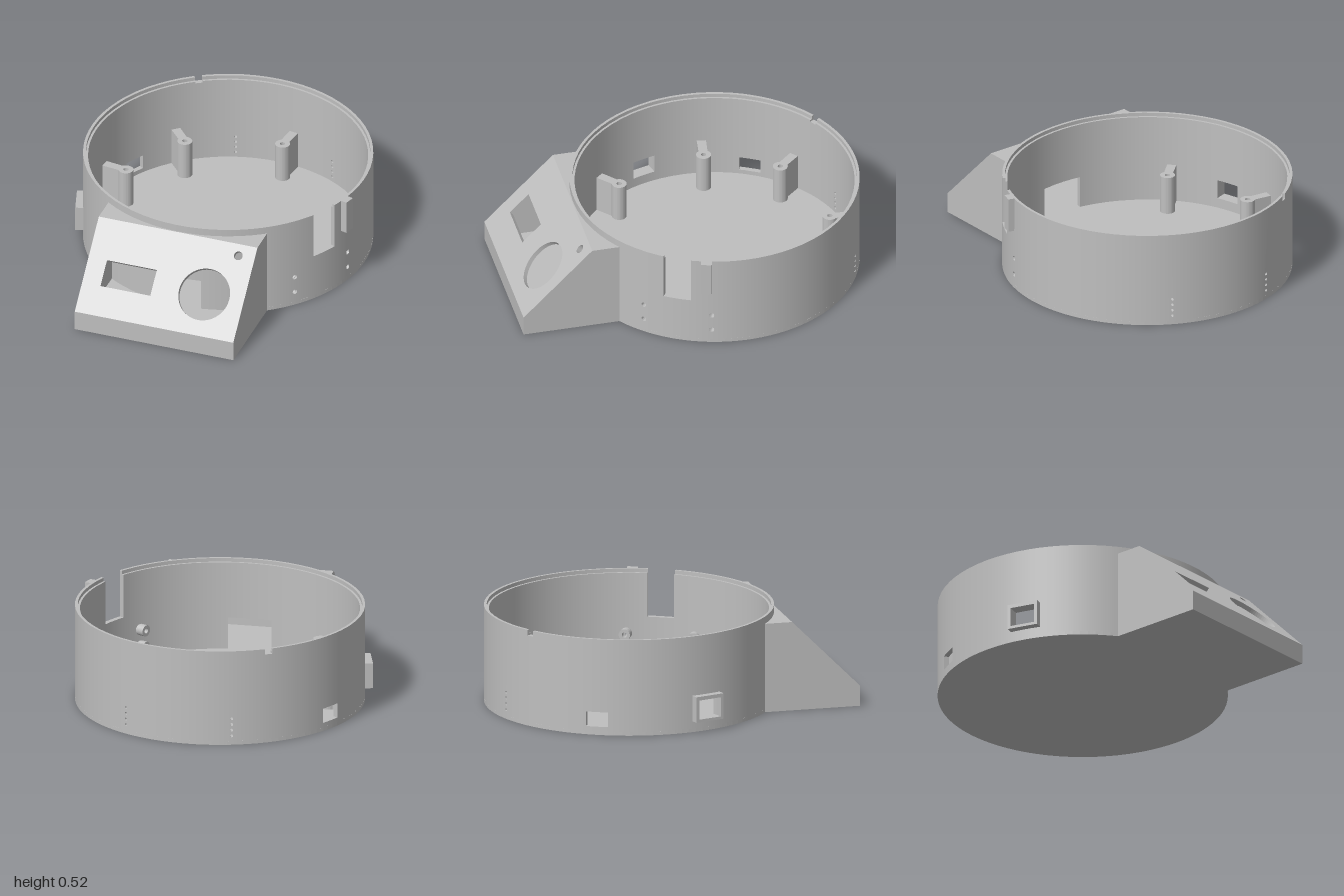
import * as THREE from 'three';
import { mergeGeometries } from 'three/addons/utils/BufferGeometryUtils.js';

const RAD = Math.PI / 180;
const R = 0.772, R_IN = 0.745, R_LIP = 0.757; // bowl radii
const H = 0.525, LEDGE = 0.505, FLOOR = 0.02;
const HALF = 0.449, FRONT = 1.152, RIDGE = 0.777, TOP = 0.485, LOW = 0.11, T = 0.025; // housing

const grey = new THREE.MeshStandardMaterial({ color: 0xbfbfbf });
grey.name = 'grey plastic';

function mesh(geometry, name, parent) {
  const m = new THREE.Mesh(geometry, grey);
  m.name = name;
  parent.add(m);
  return m;
}

function polygon(points) {
  return new THREE.Shape(points.map(([x, y]) => new THREE.Vector2(x, y)));
}

function circleHole(x, y, r) {
  return new THREE.Path().absarc(x, y, r, 0, Math.PI * 2, true);
}

function extrude(shape, depth, curveSegments = 16) {
  return new THREE.ExtrudeGeometry(shape, { depth, bevelEnabled: false, curveSegments });
}

// Upright prism from a plan outline of [x, z] points
function prism(points, y, height, holes = []) {
  const shape = polygon(points.map(([x, z]) => [x, -z]));
  shape.holes.push(...holes);
  return extrude(shape, height).rotateX(-Math.PI / 2).translate(0, y, 0);
}

function arc(r, from, to, n) {
  return Array.from({ length: n + 1 }, (_, i) => {
    const a = from + (to - from) * i / n;
    return [r * Math.sin(a), r * Math.cos(a)];
  });
}

// Openings in the wall: [from degree, to degree, bottom, top], 0 = +z, 90 = +x
const openings = [
  [18.8, 37.2, FLOOR, 0.195],   // passage to the housing
  [84, 95.2, 0.265, 1],         // tall notch
  [-121.5, -118.5, 0.495, 1],   // rim notch
  [-50, -40, 0.075, 0.18],      // socket
  [-94.5, -85.5, 0.045, 0.125], // side port
];
// Round holes: [degree, height, radius]
const drilled = [];
for (const a of [180, -135]) for (let i = 0; i < 4; i++) drilled.push([a, 0.05 + i * 0.032, 0.008]);
for (const a of [75.4, 103.5]) for (const y of [0.08, 0.173]) drilled.push([a, y, 0.014]);

// Curved wall from narrow bent panels, leaving the openings free
function wall(rIn, y0, y1) {
  const cuts = new Set(openings.flatMap(([a, b]) => [a, b]));
  for (let a = -178; a <= 182; a += 5) cuts.add(a);
  const edges = [...cuts].sort((a, b) => a - b);
  const parts = [];
  for (let i = 0; i + 1 < edges.length; i++) {
    const [a, b] = [edges[i], edges[i + 1]], mid = (a + b) / 2;
    const gap = openings.find(o => mid > o[0] && mid < o[1]);
    const spans = gap ? [[y0, Math.min(y1, gap[2])], [Math.max(y0, gap[3]), y1]] : [[y0, y1]];
    for (const [s, e] of spans) {
      if (e - s < 1e-4) continue;
      const w = (a - mid) * RAD * R;
      const shape = polygon([[w, s], [-w, s], [-w, e], [w, e]]);
      for (const [d, y, r] of drilled) {
        if (d > a && d < b && y > s && y < e) shape.holes.push(circleHole((d - mid) * RAD * R, y, r));
      }
      const g = extrude(shape, R - rIn, 6);
      const p = g.attributes.position, n = g.attributes.normal, v = new THREE.Vector3();
      const up = new THREE.Vector3(0, 1, 0);
      for (let k = 0; k < p.count; k++) {
        const angle = mid * RAD + p.getX(k) / R, r = rIn + p.getZ(k);
        v.fromBufferAttribute(n, k).applyAxisAngle(up, angle);
        n.setXYZ(k, v.x, v.y, v.z);
        p.setXYZ(k, r * Math.sin(angle), p.getY(k), r * Math.cos(angle));
      }
      parts.push(g);
    }
  }
  return mergeGeometries(parts);
}

export function createModel() {
  const model = new THREE.Group();
  model.name = 'instrumentCase';
  const body = new THREE.Group();
  body.name = 'case';
  body.position.set(-0.085, 0, -0.23);
  model.add(body);

  // Round bowl
  mesh(wall(R_IN, 0, LEDGE), 'bowlWall', body);
  mesh(wall(R_LIP, LEDGE, H), 'rimLip', body);

  // Angled housing, turned to one side
  const housing = new THREE.Group();
  housing.name = 'panelHousing';
  housing.rotation.y = 28 * RAD;
  body.add(housing);
  const meet = Math.asin(HALF / R);

  // One floor under bowl and housing
  mesh(prism([...arc(R, meet, Math.PI * 2 - meet, 96), [-HALF, FRONT], [HALF, FRONT]], 0, FLOOR), 'floor', housing);

  // Flat top strip that follows the bowl
  const inner = Math.asin(HALF / 0.76);
  mesh(prism([...arc(0.76, -inner, inner, 24), [HALF, RIDGE], [-HALF, RIDGE]], TOP - T, T), 'housingTop', housing);

  const profile = polygon([[0.625, 0], [FRONT, 0], [FRONT, LOW], [RIDGE, TOP], [0.625, TOP]]);
  for (const x of [HALF, -HALF + T]) {
    const side = mesh(extrude(profile, T), 'housingSide', housing);
    side.rotation.y = -Math.PI / 2;
    side.position.x = x;
  }
  mesh(new THREE.BoxGeometry(HALF * 2, LOW, T), 'frontLip', housing).position.set(0, LOW / 2, FRONT - T / 2);

  // Sloping panel with screen window, round opening and small hole
  const slope = (FRONT - RIDGE) * Math.SQRT2;
  const panel = polygon([[-HALF, 0], [HALF, 0], [HALF, slope], [-HALF, slope]]);
  panel.holes.push(
    polygon([[-0.345, 0.163], [-0.345, 0.307], [-0.063, 0.307], [-0.063, 0.163]]),
    circleHole(0.226, 0.226, 0.142),
    circleHole(0.357, 0.467, 0.024));
  const face = mesh(extrude(panel, T, 32), 'slopingPanel', housing);
  face.rotation.x = -Math.PI / 4;
  face.position.set(0, LOW - T * Math.SQRT1_2, FRONT - T * Math.SQRT1_2);

  // Four screw posts with ribs to the wall
  for (const a of [-20, -70, -110, -160]) {
    const post = arc(0.04, 37 * RAD, 323 * RAD, 24).map(([x, z]) => [x, z + 0.616]);
    const g = prism([...post, [-0.025, 0.755], [0.025, 0.755]], 0.01, 0.22, [circleHole(0, -0.616, 0.014)]);
    mesh(g, 'screwPost', body).rotation.y = a * RAD;
  }

  // Sideways screw sleeves behind the drilled holes
  for (const a of [75.4, 103.5]) for (const y of [0.08, 0.173]) {
    const ring = new THREE.Shape().absarc(0, 0, 0.031, 0, Math.PI * 2, false);
    ring.holes.push(circleHole(0, 0, 0.014));
    const sleeve = mesh(extrude(ring, 0.055), 'screwSleeve', body);
    sleeve.rotation.y = Math.PI / 2;
    sleeve.position.set(0.68, y, R * Math.cos(a * RAD));
  }

  // Socket frame standing out from the wall
  const frame = polygon([[-0.085, 0.06], [0.085, 0.06], [0.085, 0.2], [-0.085, 0.2]]);
  frame.holes.push(polygon([[-0.067, 0.075], [-0.067, 0.18], [0.067, 0.18], [0.067, 0.075]]));
  mesh(extrude(frame, 0.055).translate(0, 0, 0.755), 'socketFrame', body).rotation.y = -45 * RAD;

  // Small upright block beside the tall notch
  const block = new THREE.BoxGeometry(0.058, 0.19, 0.045).translate(0, 0.43, 0.782);
  mesh(block, 'sideBlock', body).rotation.y = 101.4 * RAD;

  return model;
}
